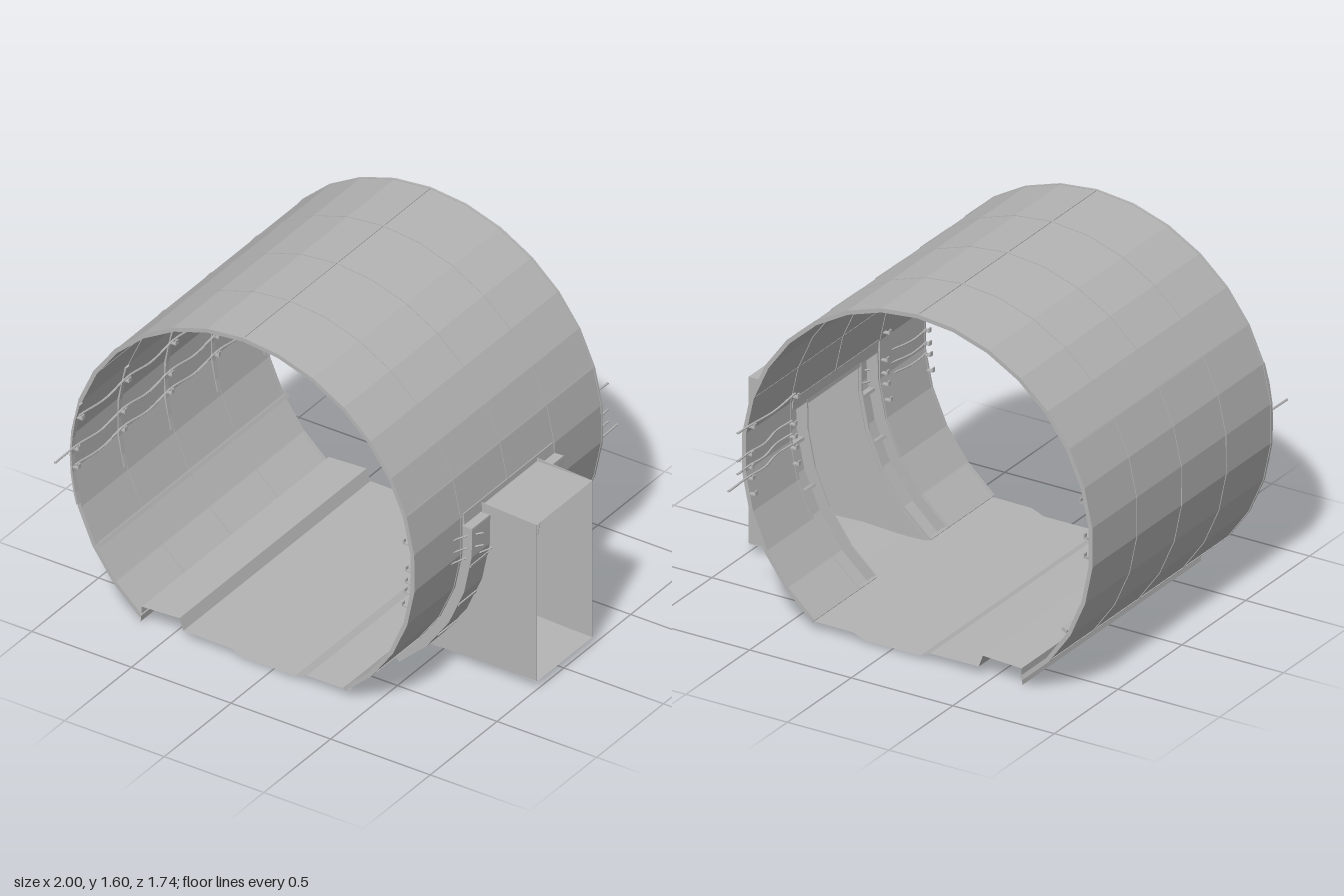
import * as THREE from 'three';

const CX = -0.14, CY = 0.72, STEPS = 24, A0 = -53.5, STEP = 287 / STEPS;
const rad = (d) => (d * Math.PI) / 180;
const ringAngle = (k) => A0 + STEP * k;
const at = (r, deg) => new THREE.Vector2(CX + r * Math.cos(rad(deg)), CY + r * Math.sin(rad(deg)));

export function createModel() {
  const model = new THREE.Group();
  const concrete = new THREE.MeshStandardMaterial({ color: 0xb4b4b4, flatShading: true, side: THREE.DoubleSide });
  concrete.name = 'grey concrete';

  const add = (name, geometry, parent = model) => {
    const mesh = new THREE.Mesh(geometry, concrete);
    mesh.name = name;
    parent.add(mesh);
    return mesh;
  };
  const box = (name, w, h, d, x, y, z, turn = 0) => {
    const mesh = add(name, new THREE.BoxGeometry(w, h, d));
    mesh.position.set(x, y, z);
    mesh.rotation.z = rad(turn);
    return mesh;
  };
  // Curved slab between two radii, following a list of angles
  const band = (name, r0, r1, angles, z0, z1) => {
    const outline = [...angles.map((a) => at(r1, a)), ...[...angles].reverse().map((a) => at(r0, a))];
    const g = new THREE.ExtrudeGeometry(new THREE.Shape(outline), { depth: z1 - z0, bevelEnabled: false });
    g.translate(0, 0, z0);
    return add(name, g);
  };
  const steps = (k0, k1) => Array.from({ length: k1 - k0 + 1 }, (_, i) => ringAngle(k0 + i));
  // Open sheet swept along z from a cross-section
  const sheet = (name, profile, z0, z1) => {
    const pos = [], index = [];
    profile.forEach(([x, y], i) => {
      pos.push(x, y, z0, x, y, z1);
      if (i) {
        const a = 2 * i - 2;
        index.push(a, a + 1, a + 2, a + 1, a + 3, a + 2);
      }
    });
    const g = new THREE.BufferGeometry();
    g.setAttribute('position', new THREE.Float32BufferAttribute(pos, 3));
    g.setIndex(index);
    g.computeVertexNormals();
    return add(name, g);
  };
  const cable = (name, points, r = 0.005) => {
    const curve = new THREE.CatmullRomCurve3(points.map((p) => new THREE.Vector3(...p)));
    return add(name, new THREE.TubeGeometry(curve, points.length * 4, r, 6));
  };

  // Tunnel lining: full bays at both ends, shortened above the side doorway
  const full = steps(0, STEPS), overDoor = steps(5, STEPS);
  const bays = [-0.7, -0.35, 0, 0.35, 0.7];
  for (let i = 0; i < 4; i++) {
    band('liningBay', 0.851, 0.864, i === 0 || i === 3 ? full : overDoor, bays[i], bays[i + 1]);
  }
  for (const z of bays) {
    band('ringJoint', 0.848, 0.867, z === 0 ? overDoor : full, z - 0.005, z + 0.005);
  }

  // Lengthwise joints
  for (const k of [6, 12, 17, 23]) {
    const p = at(0.858, ringAngle(k));
    box('longJoint', 0.018, 0.007, 1.4, p.x, p.y, 0, ringAngle(k));
  }
  for (const s of [-1, 1]) {
    const p = at(0.858, ringAngle(1));
    box('longJoint', 0.018, 0.007, 0.35, p.x, p.y, s * 0.525, ringAngle(1));
  }

  // Floor with raised walkway and shallow central channel
  sheet('floor', [[-0.655, 0], [-0.65, 0.045], [-0.65, 0.075], [-0.46, 0.085], [-0.44, 0.03], [-0.2, 0.028],
    [-0.15, 0.005], [0.12, 0.005], [0.18, 0.028], [0.39, 0.03]], -0.7, 0.7);

  // Side passage, open at its outer end
  const doorArc = steps(0, 5).map((a) => at(0.864, a));
  const wall = new THREE.Shape([...doorArc, new THREE.Vector2(1, 0.8), new THREE.Vector2(1, 0.03)]);
  for (const z of [-0.214, 0.2]) {
    const g = new THREE.ExtrudeGeometry(wall, { depth: 0.003, bevelEnabled: false });
    g.translate(0, 0, z);
    add('passageWall', g);
  }
  sheet('passageRoof', [[0.71, 0.8], [1, 0.8]], -0.214, 0.203);
  sheet('passageFloor', [[0.37, 0.03], [0.5, 0.025], [0.7, 0.037], [1, 0.025]], -0.214, 0.203);

  // Recessed curved niches on both sides of the doorway
  const nicheAngles = [...steps(0, 4), 3.3];
  for (const s of [-1, 1]) {
    const inner = s * 0.212, outer = s * 0.34;
    const lo = Math.min(inner, outer), hi = Math.max(inner, outer);
    band('nicheBack', 0.906, 0.912, nicheAngles, lo, hi);
    for (const z of [inner, outer]) band('nicheSide', 0.851, 0.912, nicheAngles, z - 0.004, z + 0.004);
    band('nicheTop', 0.851, 0.912, [2.7, 3.4], lo, hi);
    band('nicheBottom', 0.851, 0.912, [-53.5, -52.8], lo, hi);
    for (const y of [0.2, 0.38, 0.585]) {
      const a = (Math.asin((y - CY) / 0.89) * 180) / Math.PI;
      const p = at(0.893, a);
      box('nicheBracket', 0.04, 0.014, hi - lo, p.x, p.y, (lo + hi) / 2, a);
    }
  }
  band('doorHeader', 0.848, 0.868, [3.6, 7], -0.335, 0.335);
  box('doorLintel', 0.015, 0.025, 0.41, 0.715, 0.765, -0.006);

  // Left wall cable racks, sagging cables and low pipe
  const rackAngles = [162, 168, 174, 180, 186, 192, 196];
  const leftCables = [0.67, 0.76, 0.92];
  for (const z of bays) {
    band('cableRack', 0.842, 0.851, rackAngles, z + 0.005, z + 0.03);
    for (const y of leftCables) {
      const x = y > 0.9 ? -0.95 : -0.97;
      box('rackHook', 0.04, 0.006, 0.018, x, y - 0.008, z + 0.018);
      box('rackHookTip', 0.006, 0.022, 0.018, x + 0.018, y + 0.001, z + 0.018);
    }
  }
  leftCables.forEach((y, i) => {
    const x = y > 0.9 ? -0.953 : -0.972;
    const points = [[x, y, i === 1 ? 0.87 : 0.72]];
    for (let j = 8; j >= 0; j--) points.push([x, y - (j % 2 ? 0.02 : 0), -0.7 + j * 0.175]);
    cable('leftCable', points);
  });
  const low = at(0.845, ringAngle(22) + 2);
  box('lowPipe', 0.025, 0.016, 1.4, low.x, low.y + 0.03, 0, 30);

  // Right wall hooks and cables that bend out into the niches
  const rightHeights = [0.62, 0.67, 0.73];
  for (const z of [-0.7, -0.36, 0.36, 0.69]) {
    for (const y of [0.55, ...rightHeights, 0.86]) {
      const x = CX + Math.sqrt(0.848 ** 2 - (y - CY) ** 2) - 0.02;
      box('wallHook', 0.03, 0.006, 0.018, x, y - 0.008, z);
      box('wallHookTip', 0.006, 0.02, 0.018, x - 0.014, y, z);
    }
  }
  rightHeights.forEach((y, i) => {
    cable('rearCable', [[0.685, y, i ? -0.8 : -0.87], [0.69, y, -0.7], [0.69, y - 0.008, -0.58],
      [0.706, y, -0.46], [0.7, y, -0.35]]);
    cable('frontCable', [[0.69, y, 0.69], [0.692, y - 0.008, 0.58], [0.705, y, 0.46],
      [0.735, y, 0.36], [0.79, y + 0.004, i ? 0.29 : 0.22]], 0.004);
  });
  cable('upperCable', [[0.685, 0.86, -0.8], [0.682, 0.86, -0.7], [0.68, 0.85, -0.52], [0.685, 0.86, -0.35]]);

  return model;
}
